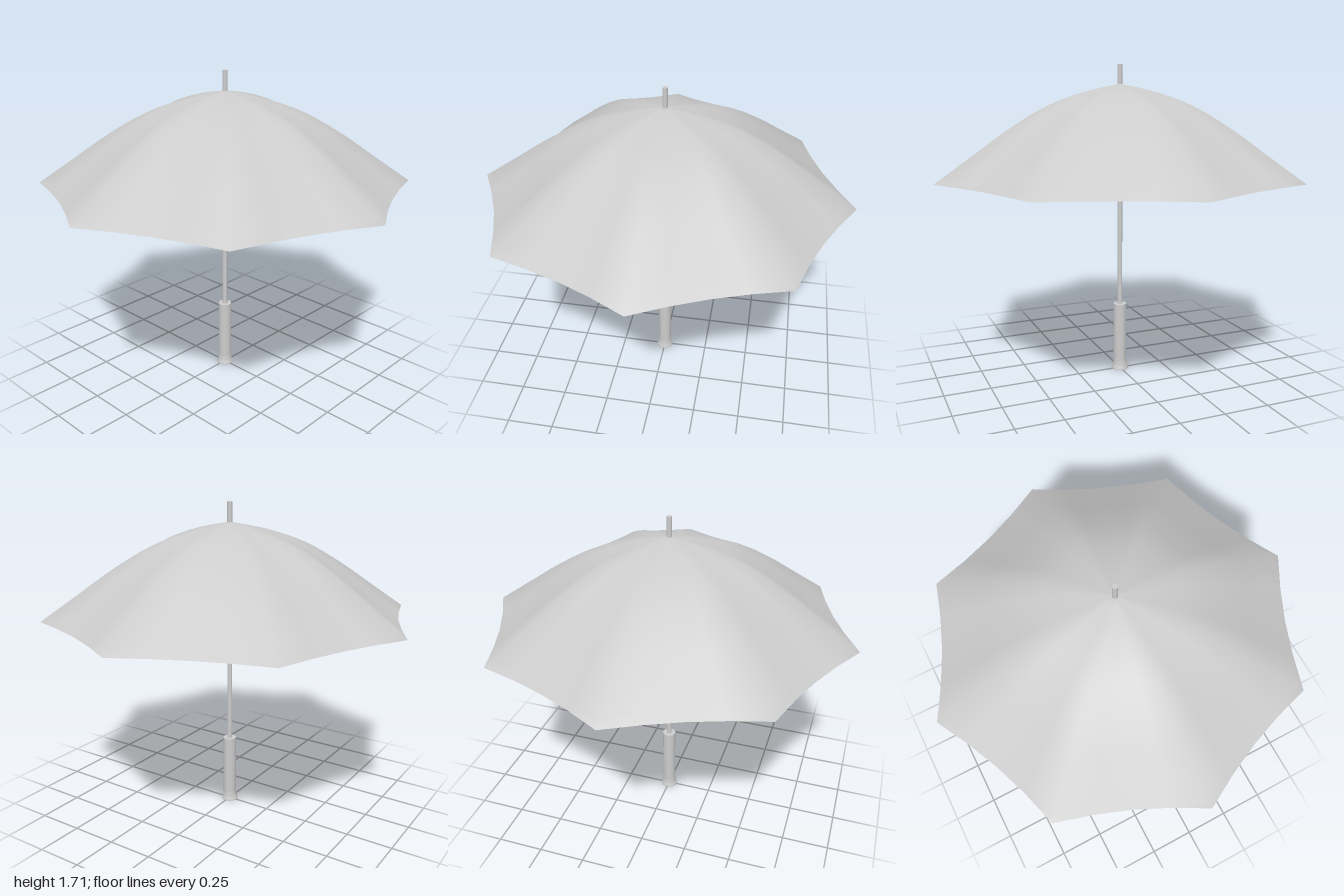
import * as THREE from 'three';

const RIBS = 8, STEPS = 4, ROWS = 20;

// Canopy: rib profile swept round, with the cloth drawn inwards between ribs
function canopyGeometry() {
  const rib = new THREE.CatmullRomCurve3([
    [0, 1.607], [0.2, 1.565], [0.41, 1.493], [0.62, 1.375], [0.81, 1.245], [1, 1.115],
  ].map(([r, y]) => new THREE.Vector3(r, y, 0)));
  const cols = RIBS * STEPS, positions = [0, 1.607, 0], index = [];

  // Scalloped outline of unit size
  const outline = [];
  for (let i = 0; i < cols; i++) {
    const t = (i % STEPS) / STEPS, k = Math.floor(i / STEPS);
    const a = k * Math.PI * 2 / RIBS, b = (k + 1) * Math.PI * 2 / RIBS;
    const p = new THREE.Vector2(Math.cos(a), Math.sin(a))
      .lerp(new THREE.Vector2(Math.cos(b), Math.sin(b)), t);
    const sag = 0.028 * 4 * t * (1 - t);
    outline.push(p.setLength(p.length() - sag));
  }

  for (let j = 1; j <= ROWS; j++) {
    const p = rib.getPoint(j / ROWS);
    for (const o of outline) positions.push(o.x * p.x, p.y, o.y * p.x);
  }
  for (let i = 0; i < cols; i++) {
    const n = (i + 1) % cols;
    index.push(0, 1 + n, 1 + i);
    for (let j = 0; j < ROWS - 1; j++) {
      const a = 1 + j * cols + i, b = 1 + j * cols + n;
      index.push(a, b, b + cols, a, b + cols, a + cols);
    }
  }
  const g = new THREE.BufferGeometry();
  g.setAttribute('position', new THREE.Float32BufferAttribute(positions, 3));
  g.setIndex(index);
  g.computeVertexNormals();
  return g;
}

export function createModel() {
  const model = new THREE.Group();
  model.name = 'umbrella';
  const grey = new THREE.MeshStandardMaterial({ color: 0xcccccc });
  const cloth = new THREE.MeshStandardMaterial({ color: 0xcccccc, side: THREE.DoubleSide });
  const add = (name, geometry, material, y = 0) => {
    const mesh = new THREE.Mesh(geometry, material);
    mesh.name = name;
    mesh.position.y = y;
    model.add(mesh);
  };

  add('canopy', canopyGeometry(), cloth);

  // Shaft runs from inside the grip to the tip above the canopy
  add('shaft', new THREE.CylinderGeometry(0.0135, 0.0135, 1.41, 24), grey, 1.005);

  // Grip with a flared foot
  add('gripBody', new THREE.CylinderGeometry(0.036, 0.036, 0.335, 32), grey, 0.2175);
  const flare = [[0.036, 0.05], [0.038, 0.03], [0.041, 0.015], [0.046, 0.008], [0.046, 0]]
    .reverse().map(([r, y]) => new THREE.Vector2(r, y));
  add('gripFlare', new THREE.LatheGeometry(flare, 32), cloth);
  add('gripBase', new THREE.CircleGeometry(0.046, 32).rotateX(Math.PI / 2), grey);

  return model;
}
